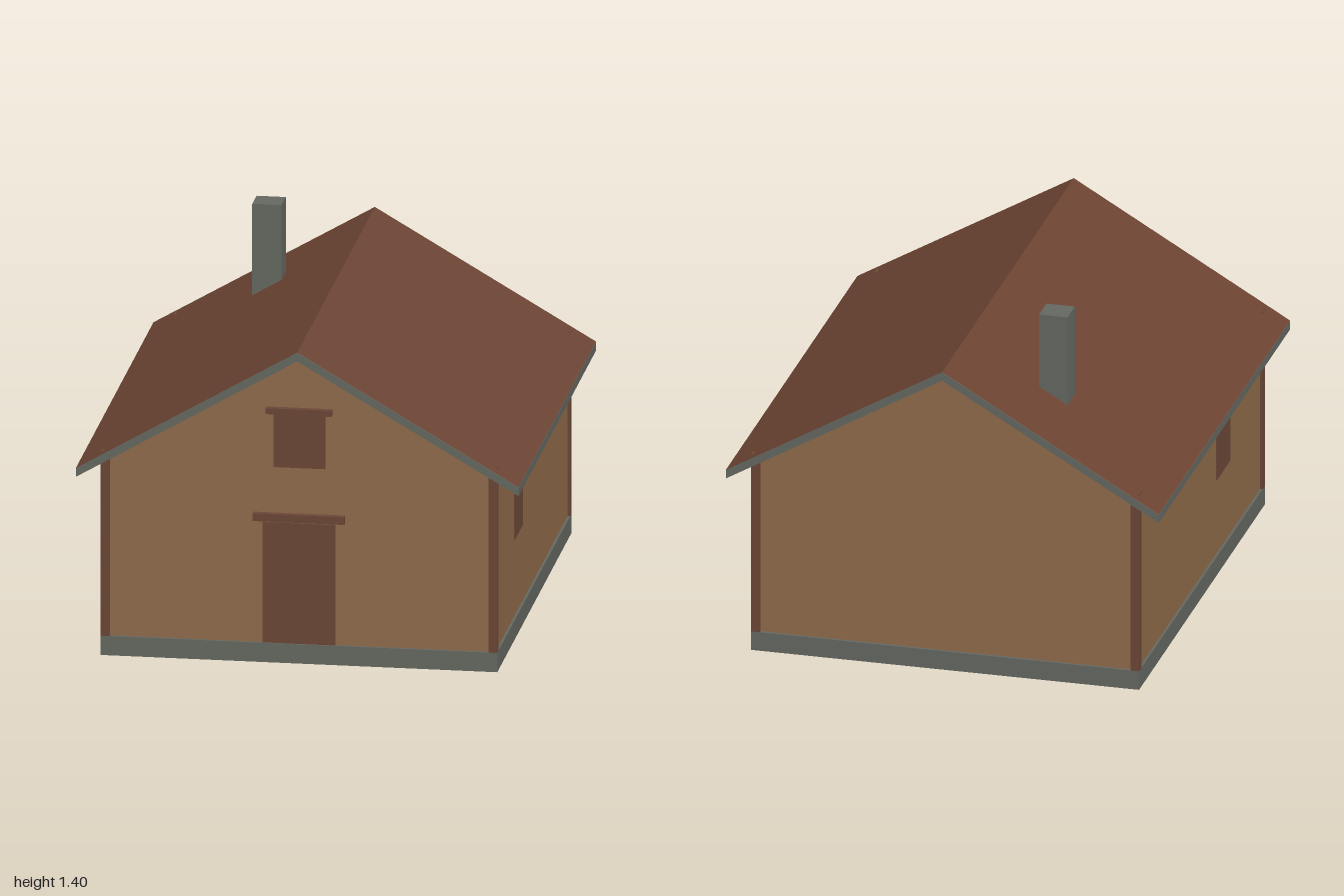
import * as THREE from 'three';

export function createModel() {
  const house = new THREE.Group();
  house.name = 'house';

  const mat = (name, color, side = THREE.FrontSide) => {
    const m = new THREE.MeshStandardMaterial({ color, side });
    m.name = name;
    return m;
  };
  const plaster = mat('ochreWall', 0x8f6c4a);
  const roofBrown = mat('roofBrown', 0x6c4433);
  const wood = mat('darkWood', 0x6c4737);
  const stone = mat('greyStone', 0x656861);

  const add = (name, geometry, material) => {
    const mesh = new THREE.Mesh(geometry, material);
    mesh.name = name;
    house.add(mesh);
    return mesh;
  };
  // Box given by its minimum and maximum corners
  const box = (name, material, [x0, y0, z0], [x1, y1, z1]) => {
    const g = new THREE.BoxGeometry(x1 - x0, y1 - y0, z1 - z0);
    g.translate((x0 + x1) / 2, (y0 + y1) / 2, (z0 + z1) / 2);
    return add(name, g, material);
  };
  // Outline in x and y, extruded symmetrically along z
  const prism = (name, points, halfDepth, material) => {
    const shape = new THREE.Shape(points.map(([x, y]) => new THREE.Vector2(x, y)));
    const g = new THREE.ExtrudeGeometry(shape, { depth: halfDepth * 2, bevelEnabled: false });
    g.translate(0, 0, -halfDepth);
    return add(name, g, material);
  };

  const W = 0.78, D = 0.957, baseTop = 0.078;
  const ridge = 1.272, eaveX = 0.87, eaveY = 0.765, thick = 0.034;
  const roofY = (x) => ridge - ((ridge - eaveY) * Math.abs(x)) / eaveX;

  // Hollow foundation: thin stone skirt and the floor slab it carries
  const t = 0.005;
  for (const s of [-1, 1]) {
    const sx = [s * W, s * (W - t)].sort((a, b) => a - b);
    const sz = [s * D, s * (D - t)].sort((a, b) => a - b);
    box('foundationSide', stone, [sx[0], 0, -D], [sx[1], baseTop, D]);
    box('foundationEnd', stone, [-W + t, 0, sz[0]], [W - t, baseTop, sz[1]]);
  }
  box('floorSlab', stone, [-W + t, baseTop - 0.006, -D + t], [W - t, baseTop, D - t]);

  // Gabled wall body
  const wx = 0.77, wz = 0.945;
  prism('walls', [
    [-wx, baseTop], [wx, baseTop], [wx, roofY(wx) - thick + 0.004],
    [0, ridge - thick + 0.004], [-wx, roofY(wx) - thick + 0.004],
  ], wz, plaster);

  // Corner posts, just breaking through the roof
  for (const sx of [-1, 1]) for (const sz of [-1, 1]) {
    const g = new THREE.BoxGeometry(0.035, 0.825 - baseTop, 0.037);
    g.translate(sx * (W - 0.0175), (0.825 + baseTop) / 2, sz * (D - 0.0185));
    add('cornerPost', g, wood);
  }

  // Roof slab: stone edges, brown top and underside
  const under = (x) => roofY(x) - thick;
  prism('roofEdge', [
    [-eaveX, under(eaveX)], [0, under(0)], [eaveX, under(eaveX)],
    [eaveX, eaveY], [0, ridge], [-eaveX, eaveY],
  ], 1, stone);
  const slope = (name, lift, up) => {
    for (const s of [-1, 1]) {
      // Thin sheet lying on one face of the slab
      const dx = eaveX, dy = ridge - eaveY;
      const g = new THREE.PlaneGeometry(Math.hypot(dx, dy), 2);
      g.rotateX(up ? -Math.PI / 2 : Math.PI / 2);
      g.rotateZ(-s * Math.atan2(dy, dx));
      g.translate((s * dx) / 2, (ridge + eaveY) / 2 + lift, 0);
      add(name, g, roofBrown);
    }
  };
  slope('roofCovering', 0.002, true);
  slope('roofUnderside', -thick - 0.002, false);

  // Chimney
  box('chimney', stone, [-0.411, 0.85, -0.647], [-0.296, 1.405, -0.535]);

  // Door, running down behind the foundation, with its lintel
  box('door', wood, [-0.143, 0.035, 0.938], [0.143, 0.566, 0.951]);
  box('doorLintel', wood, [-0.18, 0.574, 0.93], [0.18, 0.605, 0.97]);

  // Gable window
  box('gableWindow', wood, [-0.102, 0.79, 0.942], [0.102, 1.012, 0.948]);
  box('gableWindowLintel', wood, [-0.13, 1.01, 0.93], [0.13, 1.034, 0.97]);

  // Side windows, one on each long wall
  for (const s of [-1, 1]) {
    const pane = [s * 0.767, s * 0.773].sort((a, b) => a - b);
    const beam = [s * 0.755, s * 0.788].sort((a, b) => a - b);
    box('sideWindow', wood, [pane[0], 0.388, 0.253], [pane[1], 0.606, 0.457]);
    box('sideWindowLintel', wood, [beam[0], 0.604, 0.228], [beam[1], 0.632, 0.482]);
  }

  return house;
}
